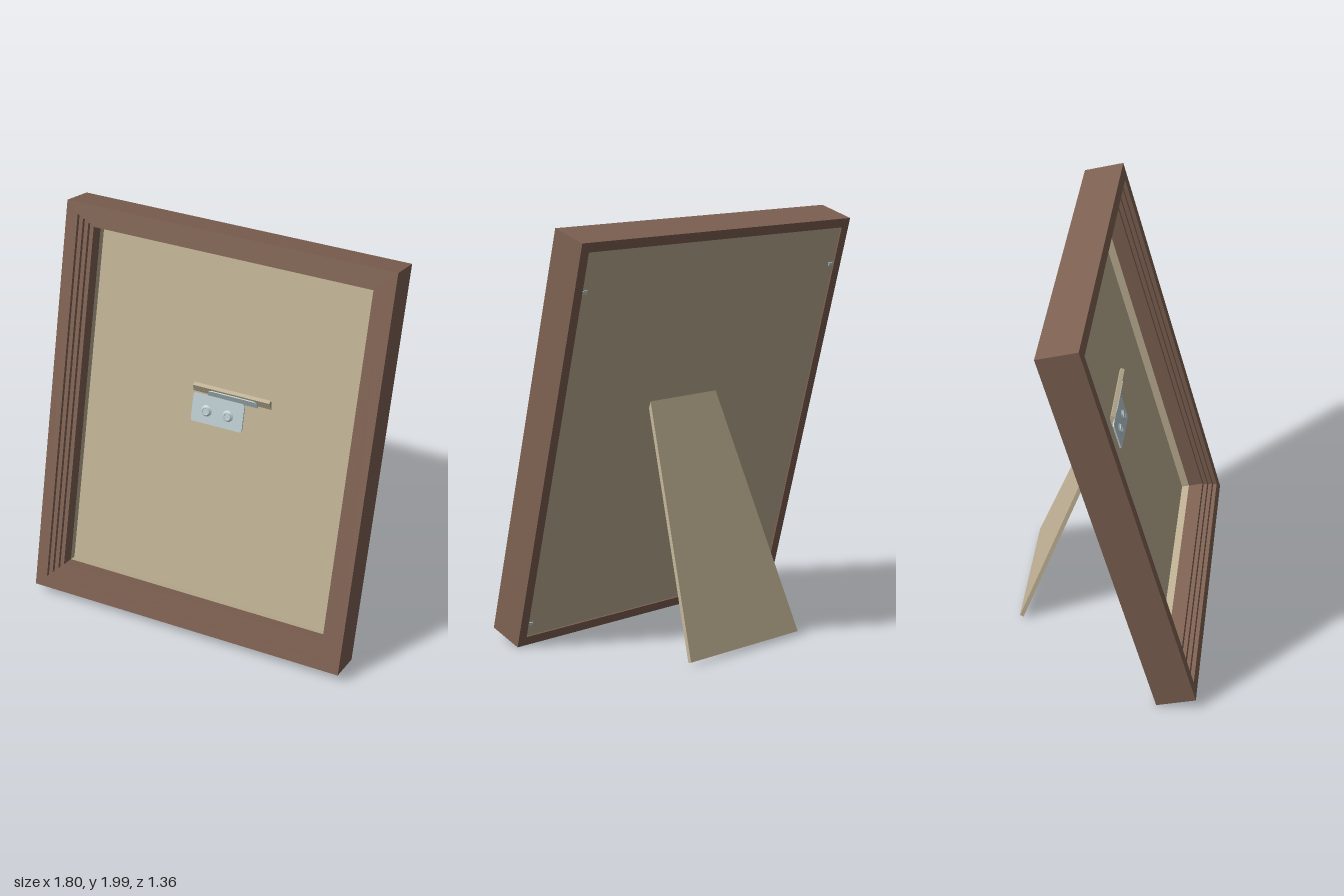
import * as THREE from 'three';

const W = 1.655, H = 2.013; // outer size of the frame
const deg = THREE.MathUtils.degToRad;

function material(name, color) {
  const m = new THREE.MeshStandardMaterial({ color });
  m.name = name;
  return m;
}

// Sweeps a closed profile of [inset, depth] points round the rectangle, mitred at the corners.
function mitredGeometry(profile) {
  const corner = (c, [inset, w]) => {
    const x = W / 2 - inset;
    return [c === 1 || c === 2 ? x : -x, c >= 2 ? H - inset : inset, w];
  };
  const pos = [];
  for (let c = 0; c < 4; c++) {
    const next = (c + 1) % 4;
    profile.forEach((p, i) => {
      const q = profile[(i + 1) % profile.length];
      const a = corner(c, p), b = corner(next, p), d = corner(next, q), e = corner(c, q);
      pos.push(...a, ...b, ...d, ...a, ...d, ...e);
    });
  }
  const g = new THREE.BufferGeometry();
  g.setAttribute('position', new THREE.Float32BufferAttribute(pos, 3));
  g.computeVertexNormals();
  return g;
}

// Thin plate with rounded corners, standing on y = 0 and centred on x.
function plateGeometry(w, h, r, depth) {
  const s = new THREE.Shape();
  s.moveTo(-w / 2 + r, 0);
  s.lineTo(w / 2 - r, 0);
  s.absarc(w / 2 - r, r, r, -Math.PI / 2, 0);
  s.absarc(w / 2 - r, h - r, r, 0, Math.PI / 2);
  s.absarc(-w / 2 + r, h - r, r, Math.PI / 2, Math.PI);
  s.absarc(-w / 2 + r, r, r, Math.PI, Math.PI * 1.5);
  return new THREE.ExtrudeGeometry(s, { depth, bevelEnabled: false, curveSegments: 5 });
}

export function createModel() {
  const wood = material('brown wood', 0x7f6253);
  const board = material('beige board', 0xbfb194);
  const metal = material('pale metal', 0xbccdd1);

  const model = new THREE.Group();
  model.name = 'pictureFrame';
  model.rotation.y = deg(25);

  const add = (parent, name, geometry, mat, x = 0, y = 0, z = 0) => {
    const mesh = new THREE.Mesh(geometry, mat);
    mesh.name = name;
    mesh.position.set(x, y, z);
    parent.add(mesh);
    return mesh;
  };

  // Frame leaning back on its lower rear edge
  const frame = new THREE.Group();
  frame.name = 'leaningFrame';
  frame.position.set(-0.003, 0, 0.174);
  frame.rotation.x = deg(-15);
  model.add(frame);

  // Stepped moulding with a rebate behind
  add(frame, 'moulding', mitredGeometry([
    [0, 0], [0, 0.195], [0.06, 0.195], [0.06, 0.175], [0.08, 0.175], [0.08, 0.155],
    [0.1, 0.155], [0.1, 0.135], [0.12, 0.135], [0.12, 0.06], [0.045, 0.06], [0.045, 0],
  ]), wood);

  // Spacer and backing board in the rebate
  add(frame, 'spacer', mitredGeometry([
    [0.046, 0.022], [0.046, 0.06], [0.12, 0.06], [0.12, 0.022],
  ]), board);
  add(frame, 'backingBoard', new THREE.BoxGeometry(W - 0.09, H - 0.09, 0.014), board, 0, H / 2, 0.015);

  // Retaining clips along both sides of the back
  for (const side of [-1, 1]) {
    for (const y of [0.11, 1.78]) {
      add(frame, 'clip', new THREE.BoxGeometry(0.04, 0.016, 0.005), metal, side * (W / 2 - 0.055), y, 0.0055);
    }
  }

  // Hinge leaf on the front of the board, with two screws
  add(frame, 'hingePlate', plateGeometry(0.27, 0.145, 0.012, 0.008), metal, -0.012, 1.02, 0.022);
  for (const x of [-0.07, 0.043]) {
    const screw = new THREE.Group();
    screw.name = 'screw';
    screw.position.set(x, 1.087, 0.03);
    frame.add(screw);
    const head = add(screw, 'screwHead', new THREE.CylinderGeometry(0.017, 0.029, 0.009, 12), metal, 0, 0, 0.0045);
    head.rotation.x = Math.PI / 2;
    add(screw, 'screwRim', new THREE.TorusGeometry(0.018, 0.004, 6, 14), metal, 0, 0, 0.008);
  }

  // Tapered easel leg whose top pokes through the board
  const leg = new THREE.Group();
  leg.name = 'easelLeg';
  leg.position.set(0.05, 0.02, -0.565);
  leg.rotation.x = deg(21.3);
  model.add(leg);
  const outline = new THREE.Shape([[-0.342, 0], [0.342, 0], [0.2, 1.252], [-0.2, 1.252]]
    .map(([x, y]) => new THREE.Vector2(x, y)));
  add(leg, 'legBoard', new THREE.ExtrudeGeometry(outline, { depth: 0.02, bevelEnabled: false }), board);
  add(leg, 'legHingePlate', plateGeometry(0.26, 0.15, 0.025, 0.006), metal, 0.005, 1.09, 0.02);

  const root = new THREE.Group();
  root.name = 'model';
  root.add(model);
  return root;
}
